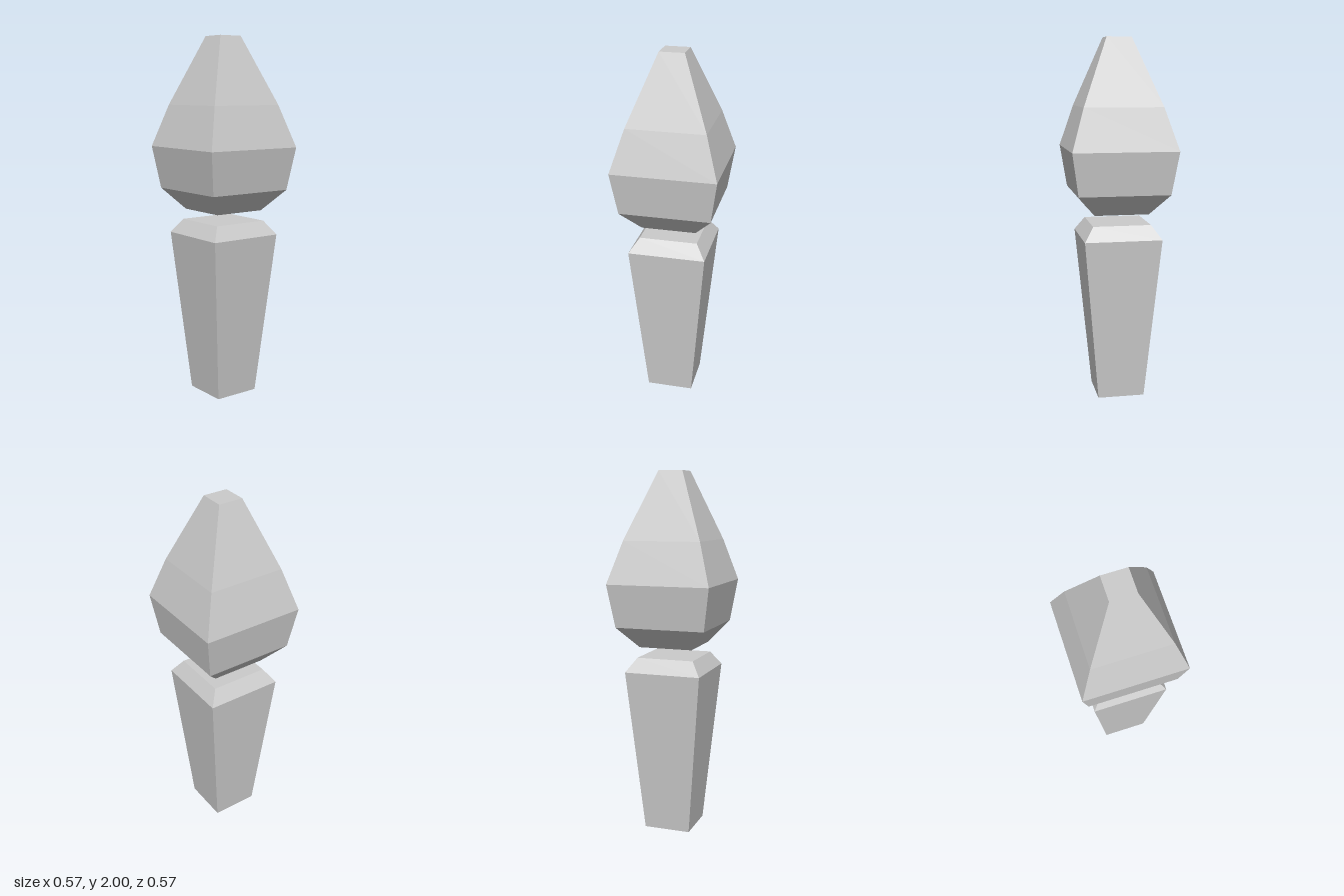
import * as THREE from 'three';

const material = new THREE.MeshStandardMaterial({ color: 0xcccccc, flatShading: true });

// Closed square solid from [half width, height] pairs, bottom to top
function squareSolid(name, profile) {
  const points = [
    [0, profile[0][1]],
    ...profile,
    [0, profile[profile.length - 1][1]],
  ].map(([half, y]) => new THREE.Vector2(half * Math.SQRT2, y));
  const geometry = new THREE.LatheGeometry(points, 4, Math.PI / 4).toNonIndexed();
  geometry.computeVertexNormals();
  const mesh = new THREE.Mesh(geometry, material);
  mesh.name = name;
  return mesh;
}

export function createModel() {
  const model = new THREE.Group();
  model.name = 'floatingFinial';

  // Tapered post with a bevelled top
  model.add(squareSolid('taperedBase', [
    [0.13, 0], [0.213, 0.913], [0.16, 0.99],
  ]));

  // Faceted bud hovering just above the post
  model.add(squareSolid('facetedBud', [
    [0.15, 1.048], [0.25, 1.165], [0.286, 1.4], [0.215, 1.63], [0.068, 2],
  ]));

  return model;
}
